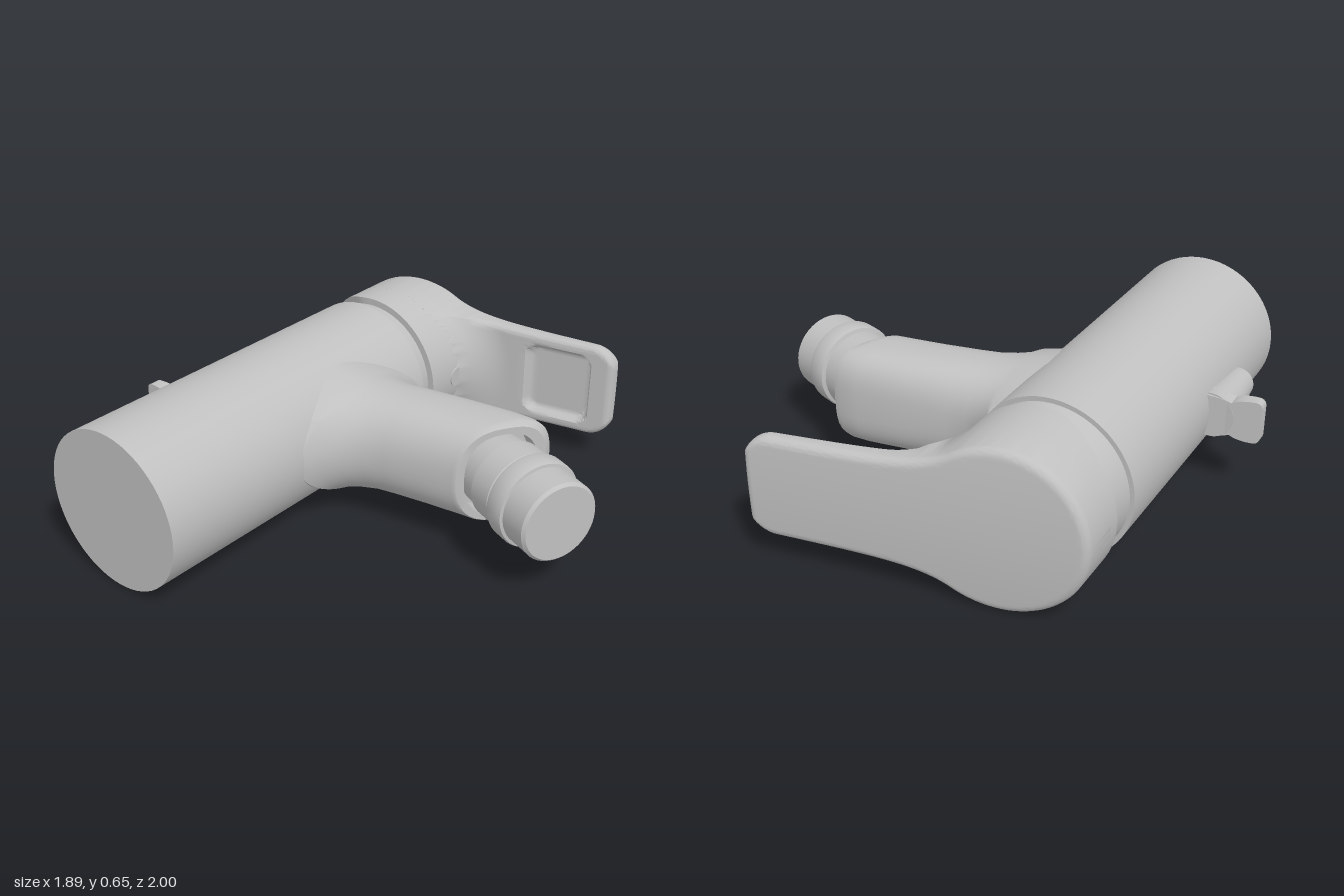
import * as THREE from 'three';
import { toCreasedNormals } from 'three/addons/utils/BufferGeometryUtils.js';

const AXIS_X = -0.42, RADIUS = 0.327, MID_Y = 0.33;

// Closed skin over rings of points (x, y, z), with capped ends
function loft(rings, crease = 0.6) {
  const n = rings[0].length, pos = [], idx = [];
  rings.forEach(r => r.forEach(p => pos.push(...p)));
  for (let i = 0; i < rings.length - 1; i++)
    for (let j = 0; j < n; j++) {
      const a = i * n + j, b = i * n + (j + 1) % n;
      idx.push(a, b, b + n, a, b + n, a + n);
    }
  [0, rings.length - 1].forEach((k, end) => {
    const c = pos.length / 3, r = rings[k];
    pos.push(...[0, 1, 2].map(m => r.reduce((s, p) => s + p[m], 0) / n));
    for (let j = 0; j < n; j++) {
      const a = k * n + j, b = k * n + (j + 1) % n;
      idx.push(c, end ? a : b, end ? b : a);
    }
  });
  // turn the faces outward if the enclosed volume is negative
  const v = i => new THREE.Vector3().fromArray(pos, i * 3);
  let vol = 0;
  for (let i = 0; i < idx.length; i += 3) vol += v(idx[i]).dot(v(idx[i + 1]).cross(v(idx[i + 2])));
  if (vol < 0) idx.reverse();
  const g = new THREE.BufferGeometry();
  g.setAttribute('position', new THREE.Float32BufferAttribute(pos, 3));
  g.setIndex(idx);
  return toCreasedNormals(g, crease);
}

// Cylinder along z, from z0 (radius r0) to z1 (radius r1)
function zCylinder(x, r0, r1, z0, z1, sides = 64) {
  return new THREE.CylinderGeometry(r1, r0, z1 - z0, sides)
    .rotateX(Math.PI / 2).translate(x, 0, (z0 + z1) / 2);
}

// Handle cap and lever: a plan outline with a sloping top and a filleted, pocketed underside
function handleGeometry() {
  const x0 = AXIS_X - RADIUS, x1 = 0.52, cols = 110, rows = 44, rings = [];
  const halfWidth = x => {
    if (x < -0.25) return Math.sqrt(Math.max(0, RADIUS ** 2 - (x - AXIS_X) ** 2));
    const w = 0.207 + 0.072 * Math.exp(-8.5 * (x + 0.25));
    return x < 0.42 ? w : w - 0.1 + Math.sqrt(Math.max(0, 0.01 - (x - 0.42) ** 2));
  };
  const round = (e, r) => e >= r ? 0 : r - Math.sqrt(Math.max(0, r * r - (r - e) ** 2));
  for (let i = 0; i <= cols; i++) {
    const x = x0 + (x1 - x0) * (1 - Math.cos(Math.PI * i / cols)) / 2;
    const w = Math.max(halfWidth(x), 0.001), top = [], bottom = [];
    for (let j = 0; j <= rows; j++) {
      const y = w * Math.sin(Math.PI * (j / rows - 0.5));
      const r = Math.hypot(x - AXIS_X, y);
      let edge = Math.min(w - Math.abs(y), x1 - x);
      if (x < AXIS_X) edge = Math.min(edge, RADIUS - r);
      edge = Math.max(0, edge);
      const crown = 0.02 * (y / RADIUS) ** 2;
      top.push([x, y, -0.924 - 0.157 * x + crown + round(edge, 0.03)]);
      // underside: fillet around the round base, rounded rim, shallow pocket
      const d = Math.max(0, r - RADIUS);
      const qx = Math.abs(x - 0.28) - 0.09, qy = Math.abs(y) - 0.105;
      const inside = 0.06 - Math.hypot(Math.max(qx, 0), Math.max(qy, 0)) - Math.min(Math.max(qx, qy), 0);
      const pocket = 0.035 * THREE.MathUtils.smoothstep(inside, 0, 0.025);
      const rim = x > -0.1 ? round(edge, 0.025) : 0;
      bottom.push([x, y, -0.83 - 0.2 * Math.max(x, -0.2) + round(d, 0.15) - pocket - rim]);
    }
    rings.push([...top, ...bottom.reverse()]);
  }
  return loft(rings, 0.7);
}

// Spout: stations of top x/z, bottom x/z, half width, upper and lower roundness
function spoutGeometry() {
  const stations = [
    [-0.22, -0.43, -0.22, 0.36, 0.262, 1.7, 1.7],
    [-0.1, -0.43, -0.1, 0.34, 0.234, 1.7, 1.7],
    [-0.075, -0.36, -0.075, 0.25, 0.228, 1.9, 1.8],
    [-0.03, -0.31, -0.03, 0.175, 0.222, 2.2, 2],
    [0.03, -0.285, 0.04, 0.125, 0.217, 2.4, 2.1],
    [0.12, -0.29, 0.12, 0.1, 0.215, 2.7, 2.2],
    [0.3, -0.315, 0.27, 0.072, 0.212, 3, 2.3],
    [0.5, -0.335, 0.38, 0.05, 0.212, 3.2, 2.4],
    [0.58, -0.335, 0.41, 0.044, 0.212, 3.2, 2.4],
    [0.61, -0.325, 0.425, 0.042, 0.21, 3.2, 2.4],
    [0.622, -0.28, 0.43, 0.038, 0.2, 3.2, 2.4],
    // hollow mouth
    [0.605, -0.252, 0.447, 0.01, 0.175, 2.6, 2.4],
    [0.54, -0.28, 0.38, -0.02, 0.17, 2.6, 2.4],
  ];
  const power = (v, n) => Math.sign(v) * Math.abs(v) ** (2 / n);
  return loft(stations.map(([tx, tz, bx, bz, w, nt, nb]) =>
    Array.from({ length: 48 }, (_, j) => {
      const a = j / 48 * Math.PI * 2, n = Math.sin(a) > 0 ? nt : nb;
      const s = power(Math.sin(a), n);
      return [(tx + bx) / 2 + s * (tx - bx) / 2, w * power(Math.cos(a), n), (tz + bz) / 2 + s * (tz - bz) / 2];
    })));
}

export function createModel() {
  const model = new THREE.Group();
  model.name = 'basinTap';
  const metal = new THREE.MeshStandardMaterial({ color: 0xc0c0c0 });
  metal.name = 'grey metal';
  const add = (name, geometry) => {
    const mesh = new THREE.Mesh(geometry, metal);
    mesh.name = name;
    mesh.position.y = MID_Y;
    model.add(mesh);
    return mesh;
  };

  // Body and neck
  add('body', zCylinder(AXIS_X, RADIUS, RADIUS, -0.44, 1));
  add('neck', zCylinder(AXIS_X, 0.275, 0.31, -0.66, -0.43));
  add('spout', spoutGeometry());

  // Handle base, its lower rim rising at the rear
  const base = zCylinder(AXIS_X, RADIUS, RADIUS, -0.72, -0.505);
  const p = base.attributes.position;
  for (let i = 0; i < p.count; i++)
    if (p.getZ(i) > -0.6 && p.getX(i) < -0.5)
      p.setZ(i, Math.max(-0.585, -0.505 + 0.42 * (p.getX(i) + 0.5)));
  add('handleBase', toCreasedNormals(base, 0.6));
  add('handleLever', handleGeometry());
  add('handlePlug', new THREE.CylinderGeometry(0.042, 0.042, 0.016, 24)
    .rotateZ(Math.PI / 2).translate(AXIS_X + RADIUS - 0.004, 0, -0.67));

  // Aerator: turned profile of radius and distance along its tilted axis
  const profile = [[0, -0.44], [0.15, -0.44], [0.155, -0.35], [0.166, -0.34], [0.166, -0.235], [0.16, -0.23],
    [0.16, -0.222], [0.176, -0.217], [0.18, -0.205], [0.18, -0.145], [0.175, -0.132], [0.163, -0.13],
    [0.163, -0.012], [0.152, 0], [0, 0]].map(([r, s]) => new THREE.Vector2(r, s));
  const aerator = add('aerator', toCreasedNormals(new THREE.LatheGeometry(profile, 48), 0.6));
  aerator.position.set(0.885, MID_Y, 0.02);
  aerator.quaternion.setFromUnitVectors(new THREE.Vector3(0, 1, 0), new THREE.Vector3(0.928, 0, 0.371).normalize());

  // Rear pull knob: tapered stem with a flat waisted tab
  add('knobStem', zCylinder(-0.75, 0.095, 0.066, 0.275, 0.585, 32));
  const tab = new THREE.Shape();
  tab.moveTo(-0.72, -0.09);
  tab.quadraticCurveTo(-0.8, -0.085, -0.83, -0.07);
  tab.quadraticCurveTo(-0.86, -0.09, -0.92, -0.09);
  tab.quadraticCurveTo(-0.95, -0.09, -0.95, -0.06);
  tab.lineTo(-0.95, 0.06);
  tab.quadraticCurveTo(-0.95, 0.09, -0.92, 0.09);
  tab.quadraticCurveTo(-0.86, 0.09, -0.83, 0.07);
  tab.quadraticCurveTo(-0.8, 0.085, -0.72, 0.09);
  const tabGeometry = new THREE.ExtrudeGeometry(tab, { depth: 0.05, bevelEnabled: false, curveSegments: 8 });
  const t = tabGeometry.attributes.position;
  for (let i = 0; i < t.count; i++) // upper face slopes down outward
    t.setZ(i, t.getZ(i) > 0.02 ? 0.34 : 0.262 - 0.14 * (t.getX(i) + 0.72));
  add('knobTab', toCreasedNormals(tabGeometry, 0.6));

  return model;
}
